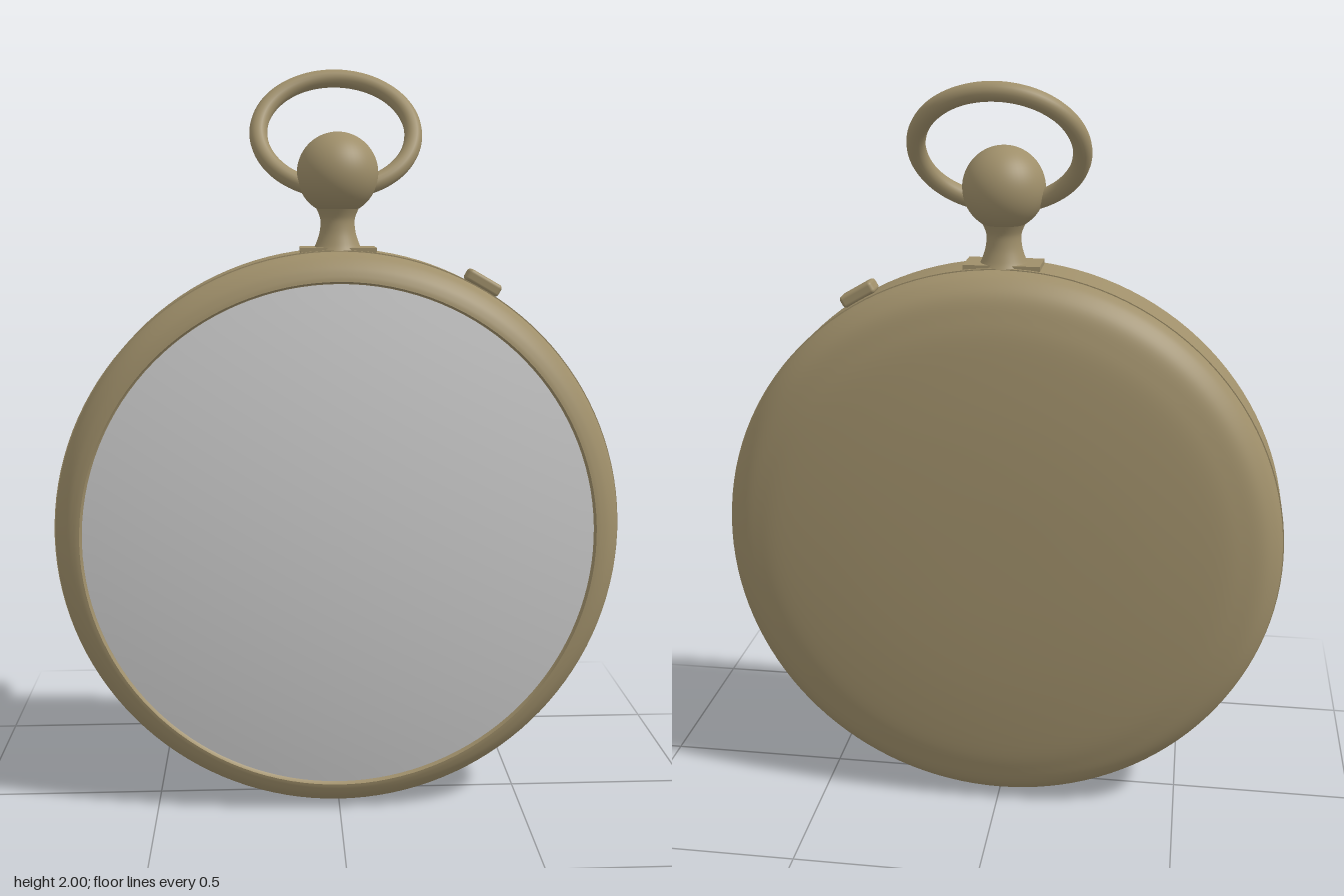
import * as THREE from 'three';
import { RoundedBoxGeometry } from 'three/addons/geometries/RoundedBoxGeometry.js';

const brass = new THREE.MeshStandardMaterial({ name: 'aged brass', color: 0x9f8f6a });
const glass = new THREE.MeshStandardMaterial({ name: 'pale glass', color: 0xcccccc });

const CY = 0.765; // height of the case centre
const R = 0.762; // case radius

export function createModel() {
  const group = new THREE.Group();
  group.name = 'pocketWatch';

  const add = (name, geometry, material = brass, parent = group) => {
    const mesh = new THREE.Mesh(geometry, material);
    mesh.name = name;
    parent.add(mesh);
    return mesh;
  };
  const lathe = (pts, segments) =>
    new THREE.LatheGeometry(pts.map(([x, y]) => new THREE.Vector2(x, y)), segments);
  const smooth = (pts, n) =>
    new THREE.SplineCurve(pts.map(([x, y]) => new THREE.Vector2(x, y))).getPoints(n).map(p => [Math.max(p.x, 0), p.y]);
  // Round case parts: profile is [radius, z], listed from back to front
  const disc = (name, pts, material) => {
    const mesh = add(name, lathe(pts, 128), material);
    mesh.rotation.x = Math.PI / 2;
    mesh.position.y = CY;
    return mesh;
  };

  // Case: domed back, middle band, rounded bezel and domed glass
  disc('caseBack', smooth([[0, -0.205], [0.2, -0.203], [0.4, -0.194], [0.58, -0.176],
    [0.66, -0.158], [0.71, -0.139], [0.743, -0.108], [0.757, -0.08], [0.759, -0.063]], 40));
  disc('caseBand', [[0.74, -0.064], [R, -0.064], [R, 0.064], [0.74, 0.064]].slice(1, 3));
  for (const s of [-1, 1]) {
    const rim = add('bandEdge', new THREE.RingGeometry(0.74, R, 128));
    rim.position.set(0, CY, 0.064 * s);
    if (s < 0) rim.rotation.y = Math.PI;
  }
  disc('bezel', smooth([[0.759, 0.063], [0.757, 0.08], [0.745, 0.106], [0.722, 0.13],
    [0.7, 0.142], [0.686, 0.146]], 24));
  disc('bezelLip', [[0.686, 0.146], [0.682, 0.134], [0.676, 0.134]]);
  const dome = [];
  for (let i = 0; i <= 20; i++) {
    const r = 0.68 * (1 - i / 20);
    dome.push([r, 0.137 + 0.064 * (1 - (r / 0.68) ** 2)]);
  }
  disc('glass', dome, glass);

  // Neck, its seat on the band, and the ball above it
  add('neckSeat', new THREE.BoxGeometry(0.2, 0.04, 0.11)).position.y = 1.513;
  add('neck', lathe(smooth([[0.066, 1.525], [0.058, 1.54], [0.048, 1.57], [0.045, 1.6],
    [0.05, 1.62], [0.062, 1.645]], 20), 40));
  add('ball', new THREE.SphereGeometry(0.107, 48, 32)).position.y = 1.724;

  // Oval bow, leaning back from the ball
  const bowPoints = [];
  for (let i = 0; i < 48; i++) {
    const a = (i / 48) * Math.PI * 2;
    const y = 1.83 + 0.148 * Math.sin(a);
    bowPoints.push(new THREE.Vector3(0.207 * Math.cos(a), y, -0.66 * (y - 1.695)));
  }
  add('bow', new THREE.TubeGeometry(new THREE.CatmullRomCurve3(bowPoints, true), 120, 0.024, 16, true));

  // Push button on the upper left of the band
  const button = new THREE.Group();
  button.name = 'button';
  button.position.set(0.5 * R, CY + 0.866 * R, 0);
  button.rotation.z = -Math.PI / 6;
  group.add(button);
  add('buttonStem', new THREE.BoxGeometry(0.06, 0.04, 0.04), brass, button);
  add('buttonCap', new RoundedBoxGeometry(0.1, 0.034, 0.06, 3, 0.01), brass, button).position.y = 0.015;

  return group;
}
